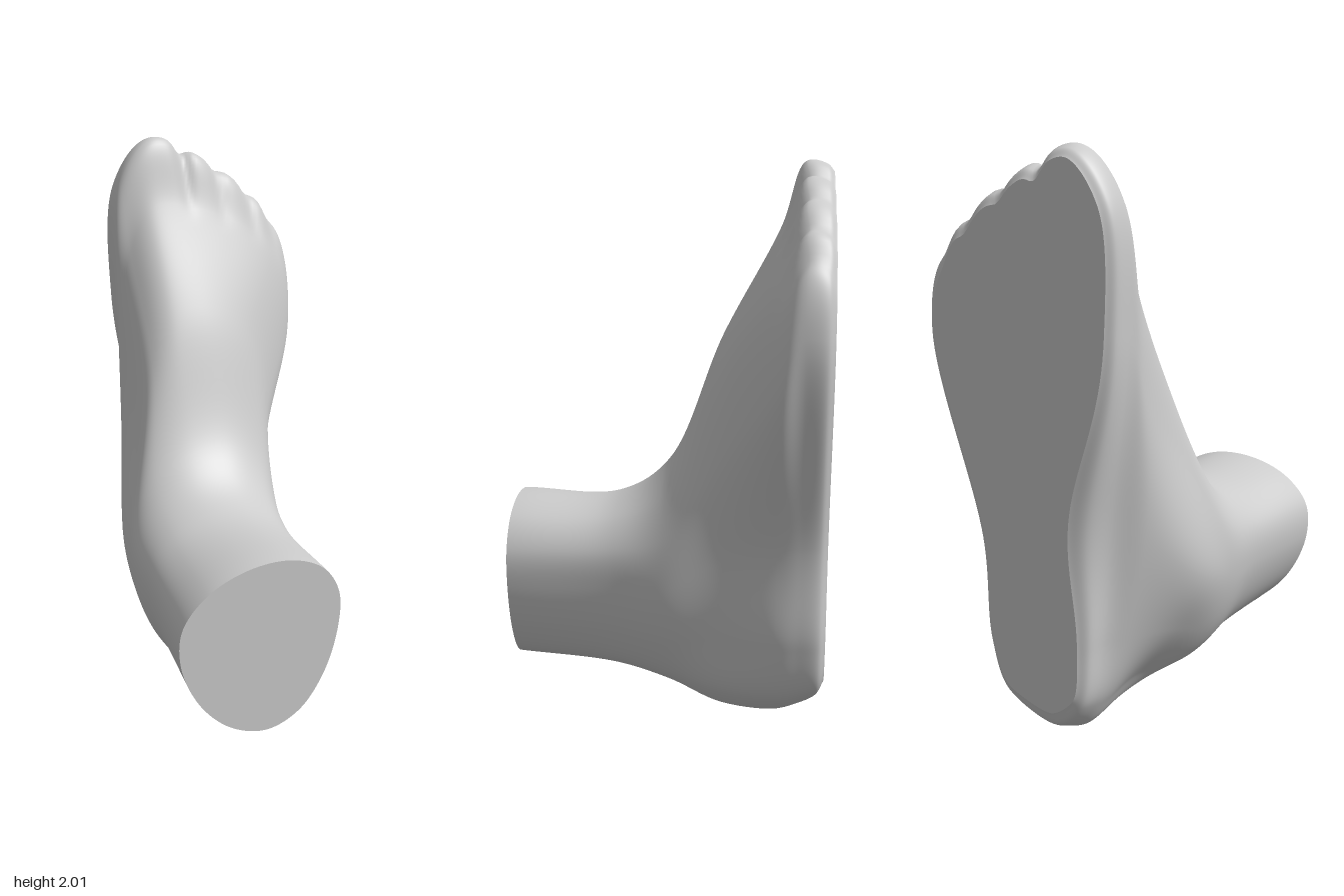
import * as THREE from 'three';

const AROUND = 234;
const ALONG = 98;
const CORNERS = 13;
const { smoothstep } = THREE.MathUtils;
const bump = (v, centre, width) => Math.exp(-(((v - centre) / width) ** 2));

// Closed smooth ring at depth z; corners run from the heel up the outer side,
// over the top and down the inner side
function ring(z, corners) {
  const curve = new THREE.CatmullRomCurve3(corners.map(([x, y]) => new THREE.Vector3(x, y, z)), true);
  return Array.from({ length: AROUND }, (_, j) => curve.getPoint(j / AROUND));
}

// Egg-shaped ring for the leg, widest at height side, fuller on the outer side
function egg(z, left, right, bottom, side, top) {
  return ring(z, Array.from({ length: CORNERS }, (_, k) => {
    const a = (k / CORNERS) * Math.PI * 2 - Math.PI / 2, s = Math.sin(a);
    const x = (left + right) / 2 + (right - left) / 2 * Math.cos(a) * (1 + .1 * s) + .03 * s * s;
    return [x, side + s * (s > 0 ? top - side : side - bottom)];
  }));
}

// Sole edge: the foot outline drawn in, more so under the arch and heel
function rim(z, outline, inset, arch, heel) {
  return outline.map((p, j) => {
    const before = outline[(j + AROUND - 1) % AROUND], after = outline[(j + 1) % AROUND];
    const along = after.clone().sub(before).normalize();
    return new THREE.Vector3(
      p.x - along.y * inset + (p.x < .05 ? arch * bump(p.y, .8, .35) : 0),
      p.y + along.x * inset + heel * bump(p.y, 0, .15),
      z);
  });
}

// Soft grooves between the toes
function carveToes(p) {
  const reach = smoothstep(-p.z, .37, .48) * smoothstep(p.y, 1.4, 1.65);
  const groove = .035 * bump(p.x, .03, .032)
    + .022 * [.17, .3, .395].reduce((sum, x) => sum + bump(p.x, x, .03), 0);
  p.y -= groove * reach;
  p.z -= groove * reach * .5 * (1 - smoothstep(-p.z, .46, .56));
  return p;
}

// Lofted skin from the cut end of the leg to the rim of the sole
function makeSkin() {
  const instep = ring(-.2, [[-.02, .01], [.13, .11], [.19, .33], [.22, .62], [.255, 1], [.17, 1.29],
    [.01, 1.395], [-.13, 1.38], [-.225, 1.25], [-.295, .98], [-.36, .58], [-.27, .34], [-.12, .13]]);
  const ball = ring(-.4, [[-.01, 0], [.185, .11], [.26, .33], [.28, .68], [.45, 1.27], [.375, 1.57],
    [.07, 1.75], [-.12, 1.77], [-.22, 1.6], [-.27, 1.2], [-.265, .75], [-.19, .36], [-.11, .12]]);
  const tread = ring(-.48, [[0, .03], [.19, .125], [.265, .33], [.29, .7], [.47, 1.41], [.405, 1.68],
    [.11, 1.925], [-.09, 2], [-.225, 1.84], [-.25, 1.42], [-.19, .82], [-.155, .38], [-.11, .14]]);
  const rings = [
    egg(.58, -.475, .125, .14, .52, .78),
    egg(.2, -.42, .15, .12, .54, .79),
    egg(0, -.405, .195, .075, .55, .93),
    instep, ball, tread,
    rim(-.555, tread, .008, .05, .035),
    rim(-.58, tread, .035, .08, .06),
  ];
  const rails = rings[0].map((_, j) => new THREE.CatmullRomCurve3(rings.map(r => r[j])));
  const positions = [], index = [];
  for (let i = 0; i <= ALONG; i++) {
    for (const rail of rails) positions.push(...carveToes(rail.getPoint(i / ALONG)).toArray());
  }
  for (let i = 0; i < ALONG; i++) {
    for (let j = 0; j < AROUND; j++) {
      const a = i * AROUND + j, b = i * AROUND + (j + 1) % AROUND;
      index.push(a, a + AROUND, b, b, a + AROUND, b + AROUND);
    }
  }
  const geometry = new THREE.BufferGeometry();
  geometry.setAttribute('position', new THREE.Float32BufferAttribute(positions, 3));
  geometry.setIndex(index);
  geometry.computeVertexNormals();
  return geometry;
}

// Flat cap over one row of the skin
function makeCap(skin, row) {
  const position = skin.getAttribute('position');
  const outline = Array.from({ length: AROUND }, (_, j) =>
    new THREE.Vector2().fromBufferAttribute(position, row * AROUND + j));
  return new THREE.ShapeGeometry(new THREE.Shape(outline)).translate(0, 0, position.getZ(row * AROUND));
}

export function createModel() {
  const group = new THREE.Group();
  group.name = 'foot';
  const material = new THREE.MeshStandardMaterial({ color: 0xcccccc });
  const add = (name, geometry) => {
    const mesh = new THREE.Mesh(geometry, material);
    mesh.name = name;
    group.add(mesh);
  };

  const skin = makeSkin();
  add('footAndAnkle', skin);
  add('legCut', makeCap(skin, 0));

  // The sole faces the back, so its triangles are reversed
  const sole = makeCap(skin, ALONG);
  sole.setIndex(Array.from(sole.getIndex().array).reverse());
  sole.computeVertexNormals();
  add('sole', sole);
  return group;
}
